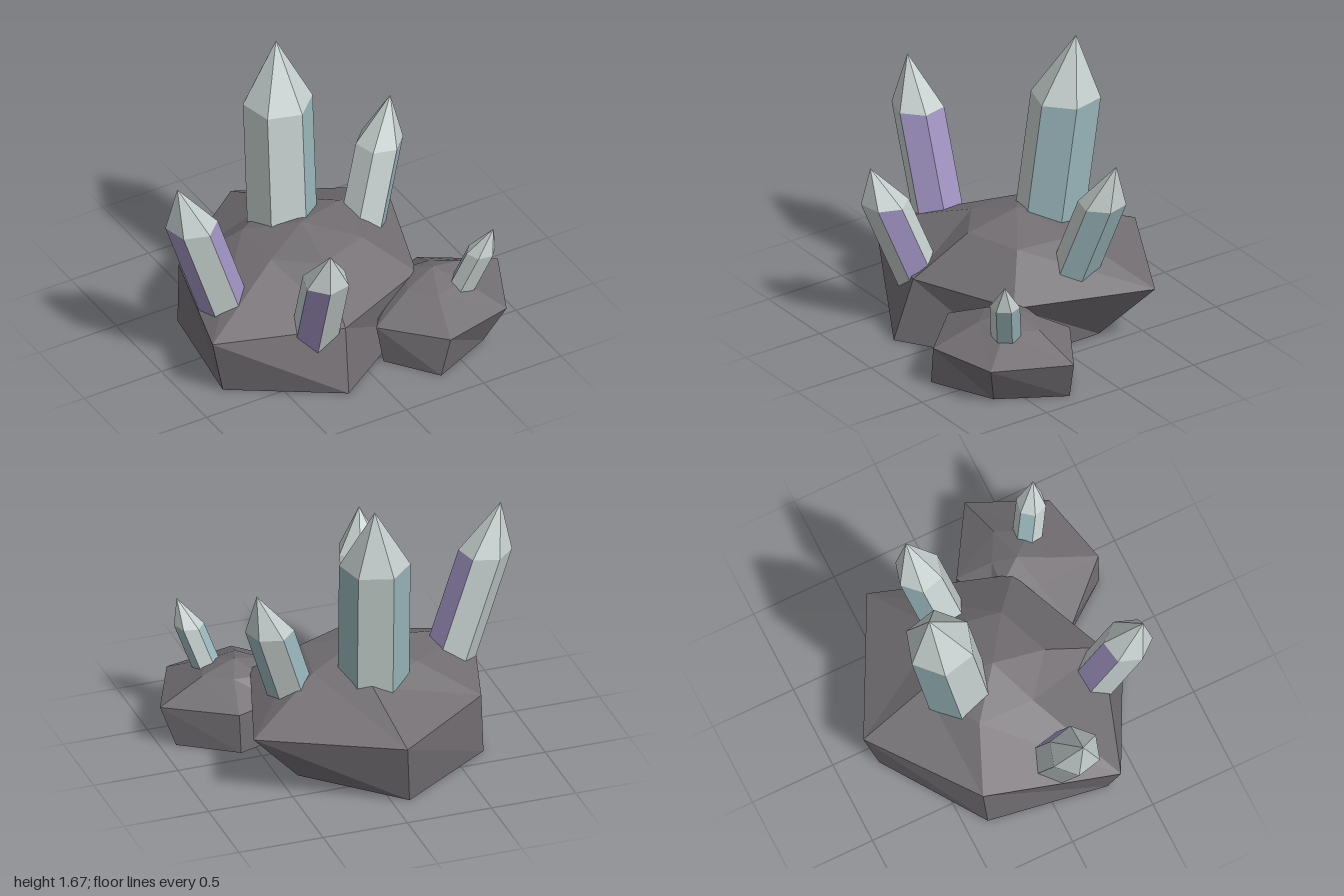
import * as THREE from 'three';

const ROCK = 0x726e72, PALE = 0xc4cecc, BLUE = 0x9bb8bd, PURPLE = 0xa093c2;

function facetedMesh(name, triangles, color) {
  const geometry = new THREE.BufferGeometry();
  geometry.setAttribute('position', new THREE.Float32BufferAttribute(triangles.flat(2), 3));
  geometry.computeVertexNormals();
  const mesh = new THREE.Mesh(geometry, new THREE.MeshStandardMaterial({ color, flatShading: true }));
  mesh.name = name;
  return mesh;
}

// Two triangles joining side i of a lower ring to an upper ring
function wall(lower, upper, i) {
  const j = (i + 1) % lower.length;
  return [[lower[i], upper[i], upper[j]], [lower[i], upper[j], lower[j]]];
}

// Triangles from a ring up to a point
const fan = (ring, tip) => ring.map((p, i) => [p, tip, ring[(i + 1) % ring.length]]);

// Ring of [x, z] pairs set at a height
const level = (points, y) => points.map(([x, z]) => [x, y, z]);

// Boulder: base, widest ring, shoulder ring and peak
function rock(name, base, middle, shoulder, peak) {
  const triangles = [];
  const rings = [base, middle, shoulder];
  for (let r = 0; r < 2; r++) {
    for (let i = 0; i < base.length; i++) triangles.push(...wall(rings[r], rings[r + 1], i));
  }
  triangles.push(...fan(shoulder, peak));
  // underside, wound to face down
  triangles.push(...fan(base, [peak[0], 0, peak[2]]).map(([a, b, c]) => [a, c, b]));
  return facetedMesh(name, triangles, ROCK);
}

// Leaning six-sided crystal with level rings, tinted on some sides
function crystal({ name, foot, neck, tip, radius, turn, tint, tinted }) {
  const group = new THREE.Group();
  group.name = name;
  const ring = ([x, y, z]) => Array.from({ length: 6 }, (_, i) => {
    const a = THREE.MathUtils.degToRad(turn + i * 60);
    return [x + radius * Math.cos(a), y, z + radius * Math.sin(a)];
  });
  const lower = ring(foot), upper = ring(neck);
  const plainSides = [], tintedSides = [];
  for (let i = 0; i < 6; i++) {
    (tinted.includes(i) ? tintedSides : plainSides).push(...wall(lower, upper, i));
  }
  const footCap = fan(lower, foot).map(([a, b, c]) => [a, c, b]);
  group.add(
    facetedMesh('crystalPaleSides', [...plainSides, ...footCap], PALE),
    facetedMesh('crystalTintedSides', tintedSides, tint),
    facetedMesh('crystalTip', fan(upper, tip), PALE),
  );
  return group;
}

export function createModel() {
  const model = new THREE.Group();
  model.name = 'crystalCluster';

  // Main boulder
  model.add(rock('largeRock',
    level([[-0.68, -0.37], [-0.10, -0.76], [0.39, -0.28], [0.40, 0.31], [-0.20, 0.705], [-0.79, 0.32]], 0),
    level([[-0.66, -0.39], [-0.06, -0.84], [0.71, -0.44], [0.45, 0.34], [-0.16, 0.60], [-0.88, 0.36]], 0.37),
    [[-0.33, 0.58, -0.25], [0.0, 0.57, -0.43], [0.27, 0.59, -0.2],
      [0.21, 0.58, 0.15], [-0.10, 0.59, 0.27], [-0.34, 0.58, 0.08]],
    [-0.07, 0.67, -0.04]));

  // Small boulder in front
  model.add(rock('smallRock',
    level([[0.91, 0.28], [0.70, 0.65], [0.33, 0.82], [0.12, 0.54], [0.32, 0.16], [0.60, 0.07]], 0),
    level([[0.995, 0.31], [0.80, 0.74], [0.38, 0.84], [0.08, 0.53], [0.36, 0.16], [0.61, 0.07]], 0.24),
    level([[0.73, 0.36], [0.64, 0.54], [0.45, 0.58], [0.33, 0.45], [0.42, 0.26], [0.57, 0.27]], 0.36),
    [0.52, 0.42, 0.40]));

  // Crystals
  const crystals = [
    { name: 'tallCrystal', foot: [-0.07, 0.45, -0.25], neck: [-0.04, 1.305, -0.355], tip: [-0.02, 1.67, -0.41],
      radius: 0.2, turn: 17, tint: BLUE, tinted: [0, 3, 5] },
    { name: 'rightSideCrystal', foot: [-0.615, 0.3, 0.085], neck: [-0.855, 1.02, 0.085], tip: [-0.95, 1.3, 0.09],
      radius: 0.15, turn: 17, tint: PURPLE, tinted: [0, 2, 5] },
    { name: 'frontCrystal', foot: [-0.28, 0.24, 0.45], neck: [-0.33, 0.81, 0.675], tip: [-0.35, 1.035, 0.76],
      radius: 0.138, turn: -10, tint: PURPLE, tinted: [0, 2, 4] },
    { name: 'leftSideCrystal', foot: [0.365, 0.42, -0.12], neck: [0.53, 0.91, -0.205], tip: [0.62, 1.165, -0.24],
      radius: 0.137, turn: 15, tint: BLUE, tinted: [0, 3, 5] },
    { name: 'smallCrystal', foot: [0.64, 0.33, 0.525], neck: [0.722, 0.575, 0.59], tip: [0.78, 0.73, 0.63],
      radius: 0.085, turn: 10, tint: BLUE, tinted: [0, 3, 5] },
  ];
  crystals.forEach((c) => model.add(crystal(c)));

  return model;
}
